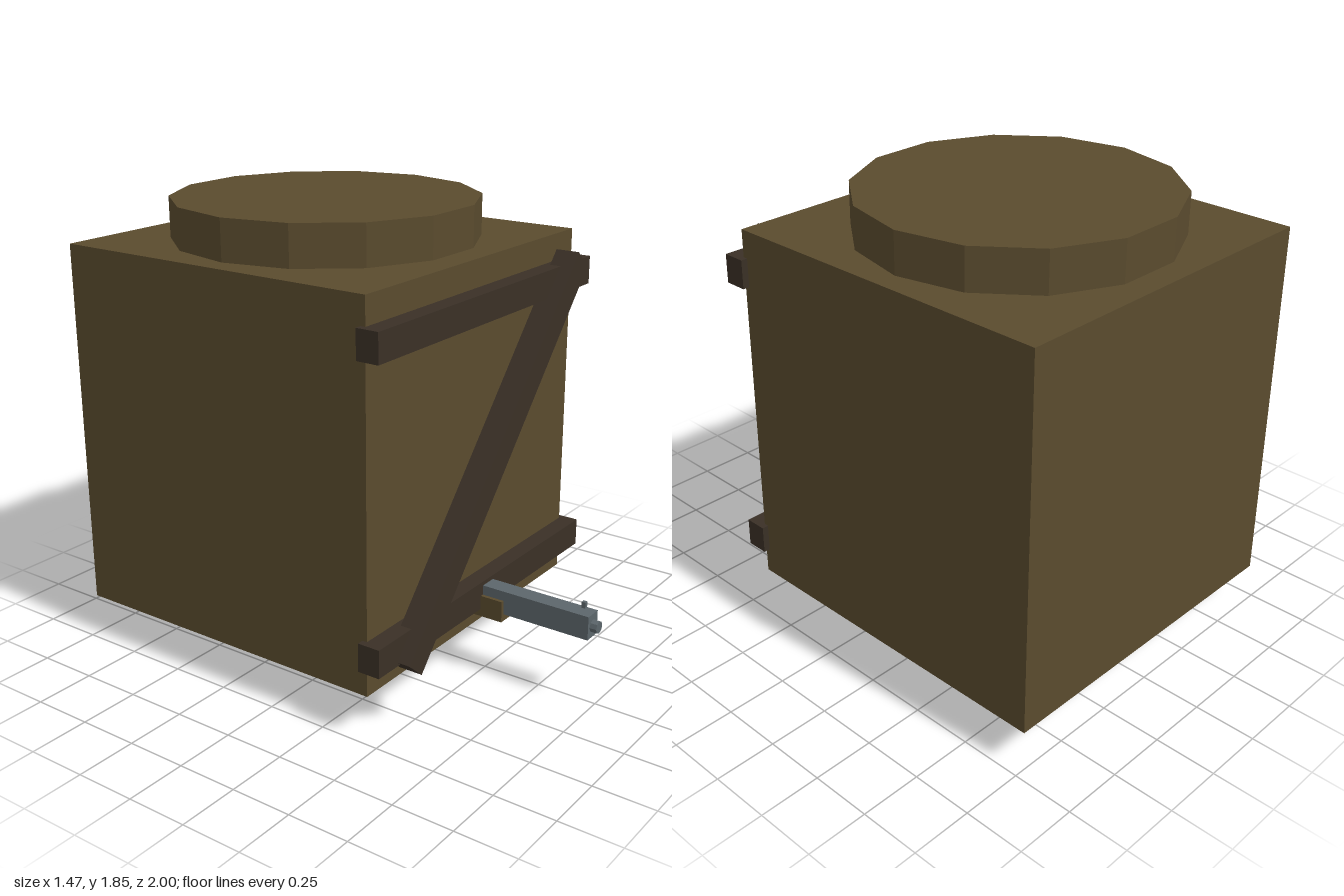
import * as THREE from 'three';

export function createModel() {
  const model = new THREE.Group();
  model.name = 'crateTurret';

  const material = (name, color) => {
    const m = new THREE.MeshStandardMaterial({ color, flatShading: true });
    m.name = name;
    return m;
  };
  const wood = material('olive wood', 0x5a4b2e);
  const darkWood = material('dark wood', 0x3a3026);
  const steel = material('gunmetal', 0x5c666b);

  const add = (name, geometry, mat, x, y, z, parent = model) => {
    const mesh = new THREE.Mesh(geometry, mat);
    mesh.name = name;
    mesh.position.set(x, y, z);
    parent.add(mesh);
    return mesh;
  };
  // Box from its limits: half width in x, then y and z ranges
  const block = (name, mat, halfX, y0, y1, z0, z1, parent) =>
    add(name, new THREE.BoxGeometry(halfX * 2, y1 - y0, z1 - z0), mat,
      0, (y0 + y1) / 2, (z0 + z1) / 2, parent);

  // Crate with a fourteen-sided lid
  block('crateBody', wood, 0.71, 0.175, 1.685, -1, 0.43);
  add('lid', new THREE.CylinderGeometry(0.62, 0.62, 0.175, 14, 1, false, Math.PI / 2),
    wood, 0, 1.7625, -0.29);

  // Front battens and the diagonal brace
  block('lowerBatten', darkWood, 0.737, 0.285, 0.4, 0.41, 0.503);
  block('upperBatten', darkWood, 0.737, 1.46, 1.575, 0.41, 0.503);
  const brace = add('diagonalBrace', new THREE.BoxGeometry(1.765, 0.107, 0.1),
    darkWood, 0, 0.93, 0.505);
  brace.rotation.z = Math.atan2(1.33, 1.16);

  // Front barrel assembly
  const barrel = new THREE.Group();
  barrel.name = 'frontBarrel';
  model.add(barrel);
  block('barrelMount', wood, 0.052, 0.255, 0.343, 0.42, 0.6, barrel);
  block('barrelHousing', steel, 0.037, 0.285, 0.383, 0.42, 0.972, barrel);
  add('muzzle', new THREE.CylinderGeometry(0.025, 0.025, 0.05, 8).rotateX(Math.PI / 2),
    steel, 0, 0.333, 0.975, barrel);
  block('frontSight', steel, 0.008, 0.398, 0.423, 0.925, 0.941, barrel);

  // Underside plate, tilted magazine and catch
  block('undersidePlate', wood, 0.07, 0.16, 0.18, -0.755, -0.355);
  const magazine = add('magazine', new THREE.BoxGeometry(0.072, 0.22, 0.114),
    steel, 0, 0.124, -0.326);
  magazine.rotation.x = 0.23;
  block('magazineCatch', steel, 0.014, 0.136, 0.166, -0.3, -0.175);

  return model;
}
